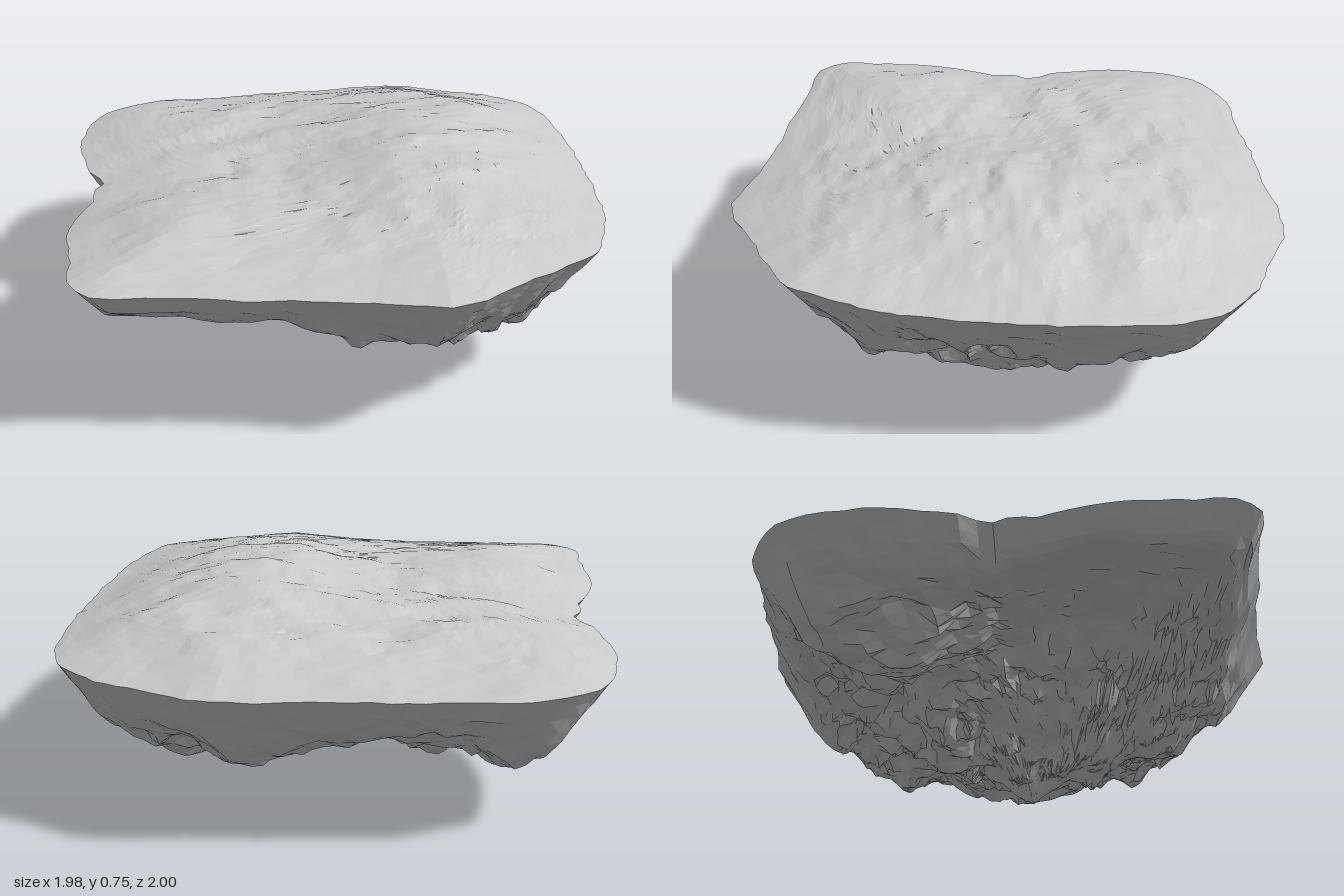
import * as THREE from 'three';

const SEGMENTS = 144, RINGS = 44;
const TIP = { x: 0.28, z: 0.04 };

// Shoreline, as x, z pairs
const SHORE = [
  0.3, -1, 0.4, -0.995, 0.6, -0.91, 0.76, -0.85, 0.9, -0.73, 0.96, -0.6, 0.975, -0.4, 0.99, -0.2,
  0.98, 0, 0.975, 0.15, 0.95, 0.4, 0.9, 0.55, 0.85, 0.7, 0.7, 0.8, 0.5, 0.9, 0.38, 0.98, 0.28, 1,
  0.15, 0.97, 0, 0.94, -0.2, 0.91, -0.38, 0.9, -0.6, 0.865, -0.85, 0.86, -0.94, 0.78, -0.96, 0.7,
  -0.95, 0.6, -0.985, 0.4, -0.97, 0.25, -0.93, 0.13, -0.895, 0.07, -0.925, 0.0, -0.88, -0.03,
  -0.88, -0.09, -0.94, -0.17, -0.97, -0.3, -1, -0.45, -0.98, -0.65, -0.92, -0.78, -0.82, -0.86,
  -0.65, -0.93, -0.55, -0.92, -0.25, -0.96, 0, -0.97, 0.2, -1,
];

// Seeded value noise in two dimensions, about -1 to 1
function hash(i, j) {
  let h = Math.imul(i, 374761393) + Math.imul(j, 668265263) + 1013;
  h = Math.imul(h ^ (h >>> 13), 1274126177);
  return ((h ^ (h >>> 16)) >>> 0) / 2147483648 - 1;
}
function noise(x, z) {
  const i = Math.floor(x), j = Math.floor(z);
  const ease = (t) => t * t * (3 - 2 * t);
  const u = ease(x - i), v = ease(z - j), mix = THREE.MathUtils.lerp;
  return mix(mix(hash(i, j), hash(i + 1, j), u), mix(hash(i, j + 1), hash(i + 1, j + 1), u), v);
}
const fractal = (x, z, f) =>
  0.55 * noise(x * f, z * f) + 0.3 * noise(x * f * 2.1 + 7, z * f * 2.1) + 0.15 * noise(x * f * 4.3, z * f * 4.3 + 3);

const bump = (x, z, cx, cz, rx, rz) => Math.exp(-(((x - cx) / rx) ** 2) - ((z - cz) / rz) ** 2);

// Edge height: lower at the back, with a swell at both front corners
const rimHeight = (x, z) =>
  0.581 + 0.016 * z + 0.025 * Math.abs(x) * bump(0, z, 0, 0.72, 1, 0.3) + 0.003 * noise(x * 6, z * 6);

// Shore point hit by a ray from the tip at the given angle
function shorePoint(angle) {
  const dx = Math.cos(angle), dz = Math.sin(angle), n = SHORE.length;
  for (let k = 0; k < n; k += 2) {
    const ax = SHORE[k] - TIP.x, az = SHORE[k + 1] - TIP.z;
    const ex = SHORE[(k + 2) % n] - TIP.x - ax, ez = SHORE[(k + 3) % n] - TIP.z - az;
    const det = dx * ez - dz * ex;
    const r = (ax * ez - az * ex) / det, s = (ax * dz - az * dx) / det;
    if (r > 0 && s >= -1e-9 && s <= 1 + 1e-9) return { x: TIP.x + dx * r, z: TIP.z + dz * r };
  }
  return { x: TIP.x, z: TIP.z };
}

// Gentle land: a broad hill, and a lower ridge near the front on the other side
function topHeight(x, z, edge) {
  const rise = Math.sin((Math.PI / 2) * Math.min(1, edge / 0.45));
  const hill = 0.068 + 0.095 * bump(x, z, 0.36, -0.02, 0.42, 0.65)
    + 0.03 * bump(x, z, -0.58, 0.4, 0.35, 0.28);
  return rimHeight(x, z) + rise * (hill + 0.024 * fractal(x * 0.8, z * 1.2, 6));
}

// Hanging rock: a main cone, lobes at the back and a thin shelf at the front
function bottomHeight(x, z, edge) {
  const dx = x - TIP.x, dz = z - TIP.z;
  const d = Math.hypot(dx * (dx < 0 ? 1.45 : 0.9), dz * (dz > 0 ? 0.62 : 0.74));
  const cone = 0.53 - 0.41 * d;
  const lobes = 0.19 - 0.1 * bump(x, z, -0.68, 0.32, 0.5, 0.45)
    + 0.17 * bump(x, z, -0.52, -0.43, 0.26, 0.24)
    + 0.12 * bump(x, z, -0.8, -0.66, 0.2, 0.22) + 0.06 * bump(x, z, 0.2, -0.7, 0.5, 0.25);
  const body = Math.max(cone, lobes);
  const flank = 1.45 * edge;
  const depth = body * flank / Math.pow(body ** 5 + flank ** 5 + 1e-12, 0.2);
  const crag = 0.1 * fractal(x, z, 6.5) + 0.025 * (1 - 2 * Math.abs(noise(x * 13, z * 13)));
  const mask = Math.min(1, edge / 0.25) * Math.min(1, d / 0.16) * Math.min(1, body / 0.3);
  const tip = 0.065 * Math.max(0, 1 - d / 0.09);
  const y = rimHeight(x, z) - Math.max(depth * 0.3, depth + crag * mask) - tip;
  return Math.max(0.004 + 0.12 * d, y);
}

// Skin of rings that run from the tip out to the shore
function skin(shore, height, up) {
  const pos = [], index = [];
  for (let i = 0; i <= RINGS; i++) {
    const t = i / RINGS;
    shore.forEach((p, j) => {
      const wob = 0.007 * Math.sin(Math.PI * t);
      const x = THREE.MathUtils.lerp(TIP.x, p.x, t) + wob * hash(i, j);
      const z = THREE.MathUtils.lerp(TIP.z, p.z, t) + wob * hash(j, i + 500);
      let edge = Infinity;
      if (i === RINGS) edge = 0;
      else for (const q of shore) edge = Math.min(edge, Math.hypot(q.x - x, q.z - z));
      pos.push(x, height(x, z, edge), z);
    });
  }
  const tri = (a, b, c) => (up ? index.push(a, c, b) : index.push(a, b, c));
  for (let i = 0; i < RINGS; i++) {
    for (let j = 0; j < SEGMENTS; j++) {
      const k = (j + 1) % SEGMENTS;
      const a = i * SEGMENTS + j, b = i * SEGMENTS + k;
      tri(a, a + SEGMENTS, b + SEGMENTS);
      if (i > 0) tri(a, b + SEGMENTS, b);
    }
  }
  const geometry = new THREE.BufferGeometry();
  geometry.setAttribute('position', new THREE.Float32BufferAttribute(pos, 3));
  geometry.setIndex(index);
  geometry.computeVertexNormals();
  return geometry;
}

export function createModel() {
  const island = new THREE.Group();
  island.name = 'floatingIsland';
  const material = new THREE.MeshStandardMaterial({ color: 0xcccccc, flatShading: true });
  const shore = Array.from({ length: SEGMENTS }, (_, j) => {
    const p = shorePoint((j / SEGMENTS) * Math.PI * 2);
    const s = 1 - 0.01 * Math.abs(noise(j * 0.5, 9));
    return { x: p.x * s, z: p.z * s };
  });

  const land = new THREE.Mesh(skin(shore, topHeight, true), material);
  land.name = 'landSurface';
  const rock = new THREE.Mesh(skin(shore, bottomHeight, false), material);
  rock.name = 'rockUnderside';
  island.add(land, rock);

  // Rest the lowest point on the ground
  const box = new THREE.Box3().setFromObject(island);
  land.position.y = rock.position.y = -box.min.y;
  return island;
}
